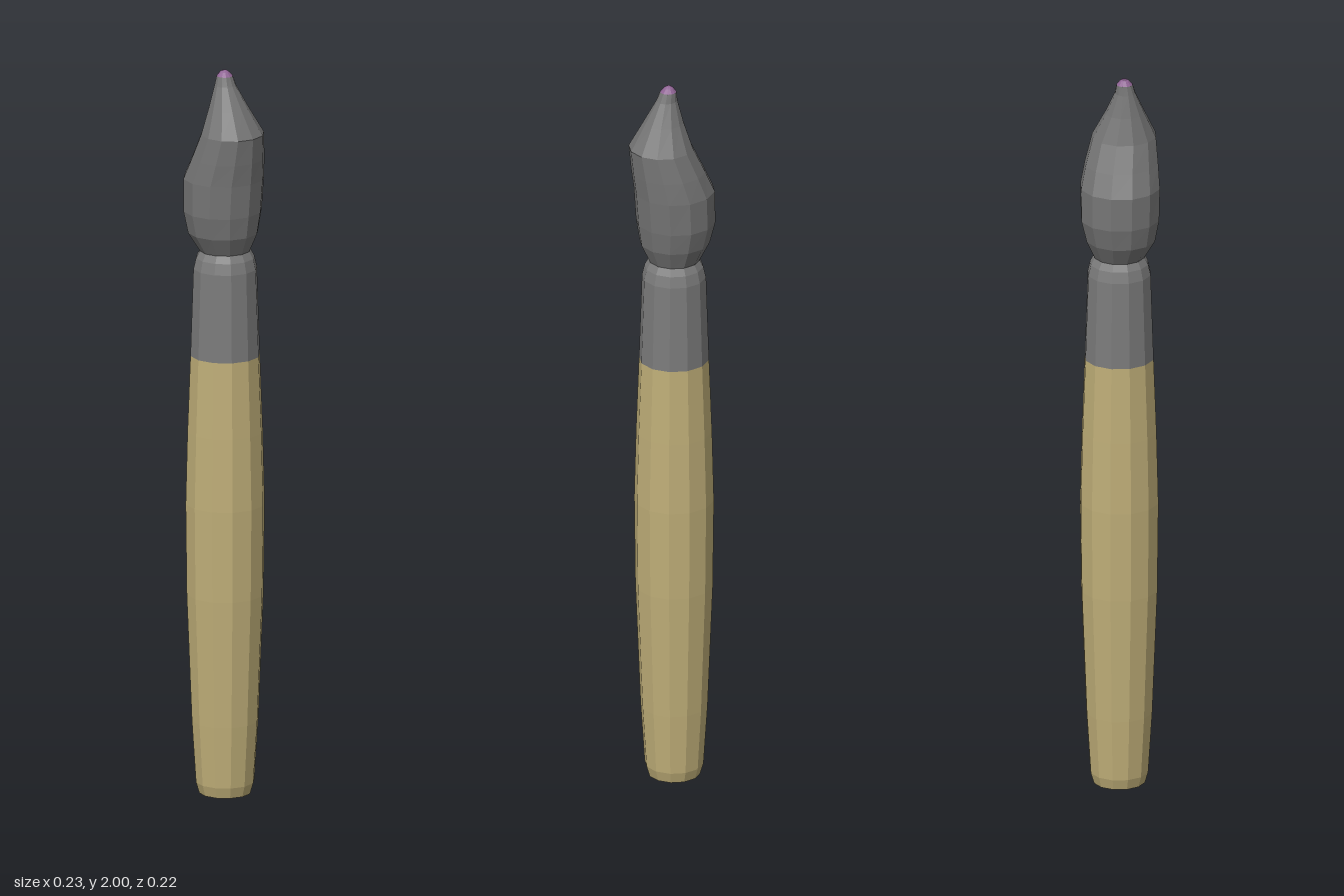
import * as THREE from 'three';

const SIDES = 12;

// Skin a stack of elliptical rings [y, xMin, xMax, zMin, zMax], closed at both ends.
function loft(rings) {
  const pos = [], index = [];
  for (const [y, x0, x1, z0, z1] of rings) {
    for (let j = 0; j < SIDES; j++) {
      const a = (j / SIDES) * Math.PI * 2;
      pos.push((x0 + x1) / 2 + Math.sin(a) * (x1 - x0) / 2, y,
        (z0 + z1) / 2 + Math.cos(a) * (z1 - z0) / 2);
    }
  }
  for (let i = 0; i < rings.length - 1; i++) {
    for (let j = 0; j < SIDES; j++) {
      const a = i * SIDES + j, b = i * SIDES + (j + 1) % SIDES;
      index.push(a, b, b + SIDES, a, b + SIDES, a + SIDES);
    }
  }
  const top = (rings.length - 1) * SIDES;
  for (let j = 1; j < SIDES - 1; j++) {
    index.push(0, j + 1, j, top, top + j, top + j + 1);
  }
  const indexed = new THREE.BufferGeometry();
  indexed.setAttribute('position', new THREE.Float32BufferAttribute(pos, 3));
  indexed.setIndex(index);
  const geometry = indexed.toNonIndexed();
  geometry.computeVertexNormals(); // separate corners give flat facets
  return geometry;
}

const round = (profile) => loft(profile.map(([y, r]) => [y, -r, r, -r, r]));

function material(name, color) {
  const m = new THREE.MeshStandardMaterial({ color });
  m.name = name;
  return m;
}

export function createModel() {
  const group = new THREE.Group();
  group.name = 'paintbrush';
  const add = (name, geometry, mat) => {
    const mesh = new THREE.Mesh(geometry, mat);
    mesh.name = name;
    group.add(mesh);
  };

  // Gently swelling wooden handle
  add('handle', round([
    [0, 0.07], [0.03, 0.079], [0.2, 0.09], [0.55, 0.104], [0.8, 0.107], [1.0, 0.102], [1.21, 0.094],
  ]), material('wood', 0xbfae78));

  // Metal sleeve with a pinched neck
  add('ferrule', round([
    [1.21, 0.094], [1.45, 0.086], [1.48, 0.079], [1.5, 0.068],
  ]), material('metal', 0x7b7b7b));

  // Bent tuft of bristles
  add('bristles', loft([
    [1.495, -0.066, 0.066, -0.066, 0.066],
    [1.55, -0.1, 0.09, -0.092, 0.096],
    [1.61, -0.113, 0.099, -0.107, 0.107],
    [1.7, -0.113, 0.106, -0.107, 0.11],
    [1.76, -0.086, 0.11, -0.09, 0.111],
    [1.83, -0.056, 0.113, -0.065, 0.11],
    [1.9, -0.037, 0.071, -0.032, 0.075],
    [1.96, -0.023, 0.036, -0.009, 0.046],
    [1.985, -0.018, 0.026, -0.006, 0.038],
  ]), material('bristle', 0x757575));

  // Paint on the very tip
  add('paintTip', loft([
    [1.985, -0.018, 0.026, -0.006, 0.038],
    [1.996, -0.009, 0.016, 0.003, 0.028],
    [2.0, -0.004, 0.01, 0.009, 0.022],
  ]), material('paint', 0x8f6494));

  return group;
}
